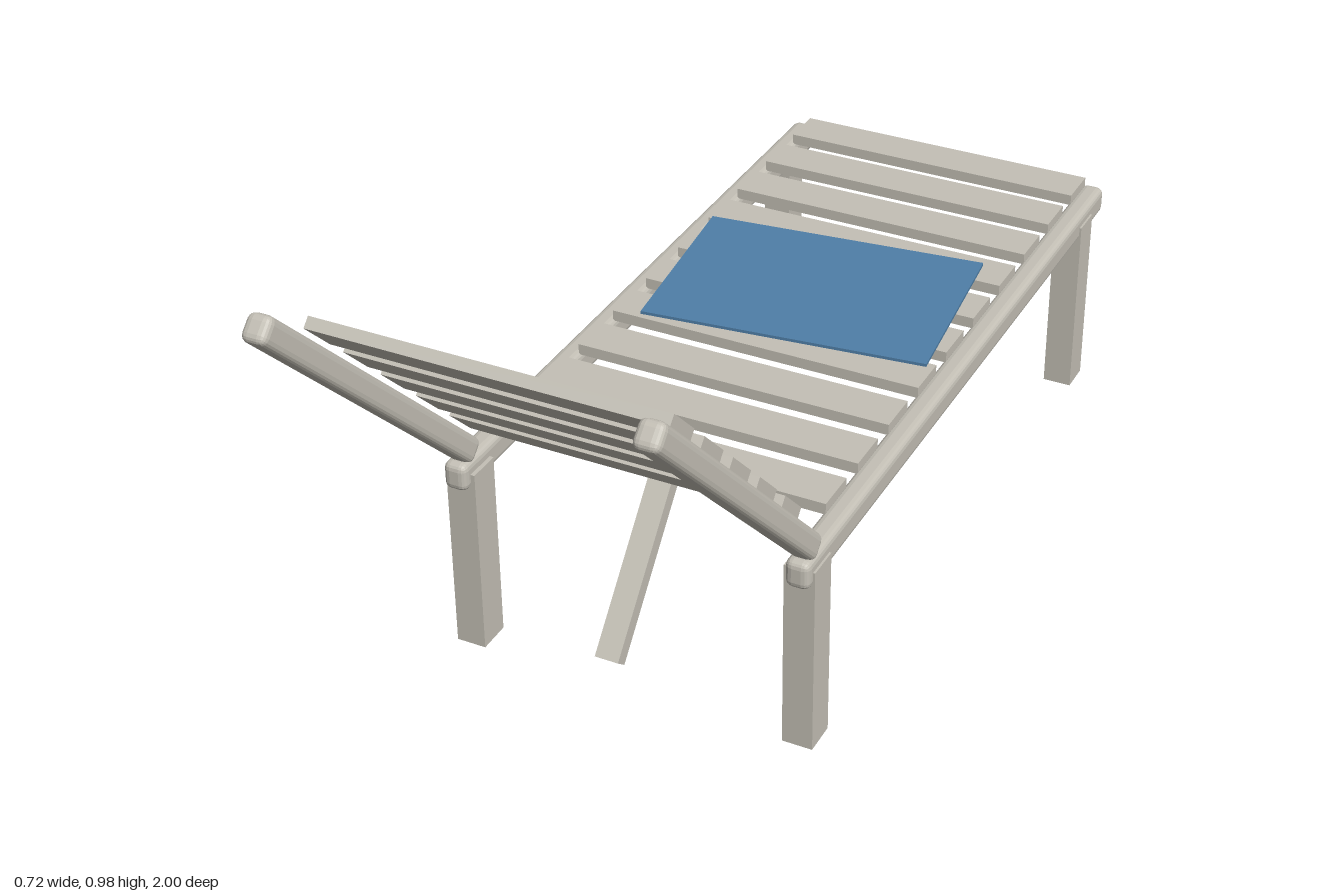
import * as THREE from 'three';
import { RoundedBoxGeometry } from 'three/addons/geometries/RoundedBoxGeometry.js';

export function createModel() {
  const model = new THREE.Group();
  model.name = 'sunLounger';

  const wood = new THREE.MeshStandardMaterial({ color: 0xc4c0b6 });
  wood.name = 'weathered wood';
  const blue = new THREE.MeshStandardMaterial({ color: 0x4f7fa8 });
  blue.name = 'blue cloth';

  const add = (parent, name, geometry, material, x, y, z) => {
    const mesh = new THREE.Mesh(geometry, material);
    mesh.name = name;
    mesh.position.set(x, y, z);
    parent.add(mesh);
    return mesh;
  };
  const box = (w, h, d) => new THREE.BoxGeometry(w, h, d);

  // Rails have faceted, eased edges and ends
  const rail = (length, height) => {
    const g = new RoundedBoxGeometry(0.046, height, length, 2, 0.014);
    g.computeVertexNormals();
    return g;
  };

  // Seat rails and square legs
  for (const side of [1, -1]) {
    const label = side > 0 ? 'left' : 'right';
    add(model, label + 'SeatRail', rail(1.478, 0.056), wood, side * 0.331, 0.377, -0.261);
    add(model, label + 'FrontLeg', box(0.058, 0.38, 0.066), wood, side * 0.329, 0.19, 0.426);
    add(model, label + 'BackLeg', box(0.058, 0.38, 0.066), wood, side * 0.329, 0.19, -0.885);
  }

  // Seat slats
  for (let i = 0; i < 10; i++) {
    add(model, 'seatSlat', box(0.63, 0.022, 0.087), wood, 0, 0.411, -0.945 + i * 0.136);
  }

  // Reclined backrest: local z runs up the slope, local y is its upper face
  const backrest = new THREE.Group();
  backrest.name = 'backrest';
  backrest.position.set(0, 0.687, 0.707);
  backrest.rotation.x = -Math.PI / 4;
  model.add(backrest);
  for (const side of [1, -1]) {
    add(backrest, side > 0 ? 'leftBackRail' : 'rightBackRail', rail(0.79, 0.05), wood, side * 0.331, 0, 0);
  }
  for (let i = 0; i < 5; i++) {
    add(backrest, 'backSlat', box(0.63, 0.021, 0.09), wood, 0, 0.043, -0.029 + (i - 2) * 0.1365);
  }

  // Sloping prop under the backrest
  const prop = add(model, 'backrestProp', box(0.046, 0.337, 0.03), wood, 0, 0.252, 0.421);
  prop.rotation.x = -Math.atan2(0.204, 0.241);

  // Cloth laid askew on the seat
  const cloth = add(model, 'towel', box(0.565, 0.006, 0.397), blue, 0, 0.428, -0.321);
  cloth.rotation.y = 0.108;

  return model;
}
